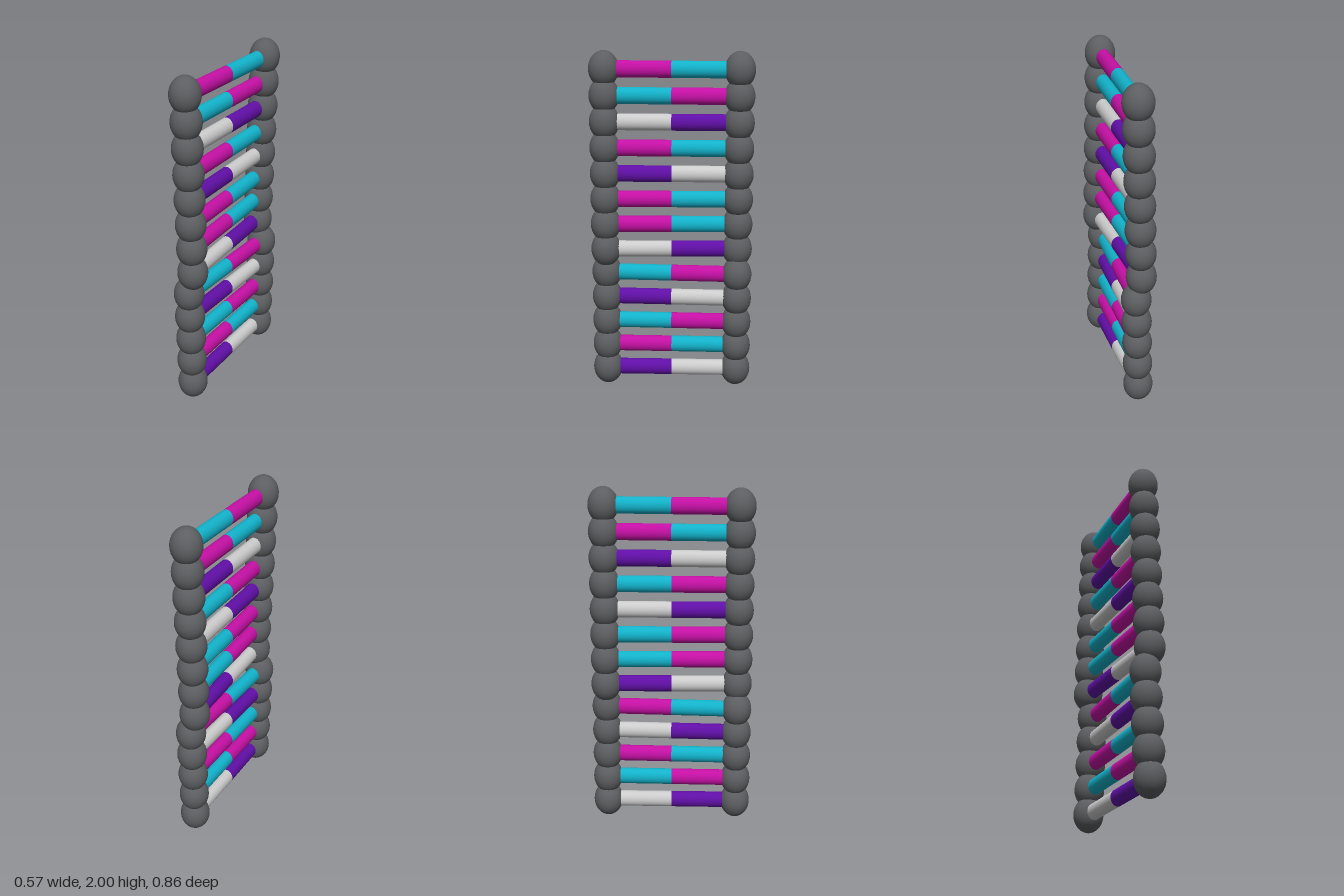
import * as THREE from 'three';

const COUNT = 13;
const BEAD_R = 0.087, BEAD_H = 0.104; // beads are slightly taller than wide
const REACH = 0.384;                  // centre axis to bead centre
const ROD_R = 0.041, ROD_H = 0.048;

const material = (color) => new THREE.MeshStandardMaterial({ color });

export function createModel() {
  const model = new THREE.Group();
  model.name = 'twistedLadder';

  const beadMat = material(0x5c5e61);
  const rodMats = {
    M: material(0xc410a4),
    C: material(0x12b2ca),
    P: material(0x600fa6),
    G: material(0xcccccc),
  };
  // Colour pairs of the rungs, bottom to top: front half, then back half
  const pairs = ['PG', 'MC', 'CM', 'PG', 'CM', 'GP', 'MC', 'MC', 'PG', 'MC', 'GP', 'CM', 'MC'];

  const beadGeo = new THREE.SphereGeometry(BEAD_R, 32, 16).scale(1, BEAD_H / BEAD_R, 1);
  const rodGeo = new THREE.CylinderGeometry(ROD_R, ROD_R, REACH, 32)
    .rotateZ(Math.PI / 2)
    .scale(1, ROD_H / ROD_R, 1);

  const step = (2 - 2 * BEAD_H) / (COUNT - 1);
  for (let i = 0; i < COUNT; i++) {
    const rung = new THREE.Group();
    rung.name = `rung${i + 1}`;
    rung.position.y = BEAD_H + i * step;
    // Slight twist that starts over after eight rungs, counted from the top
    const angle = 31.2 - 0.6 * ((COUNT - 1 - i) % 8);
    rung.rotation.y = THREE.MathUtils.degToRad(90 - angle);

    // Two half rods meeting at the axis, each ending in a bead
    [-1, 1].forEach((side, k) => {
      const end = k === 0 ? 'front' : 'back';
      const rod = new THREE.Mesh(rodGeo, rodMats[pairs[i][k]]);
      rod.name = `${end}HalfRod`;
      rod.position.x = side * REACH / 2;
      const bead = new THREE.Mesh(beadGeo, beadMat);
      bead.name = `${end}Bead`;
      bead.position.x = side * REACH;
      bead.rotation.y = -rung.rotation.y;
      rung.add(rod, bead);
    });
    model.add(rung);
  }
  return model;
}
